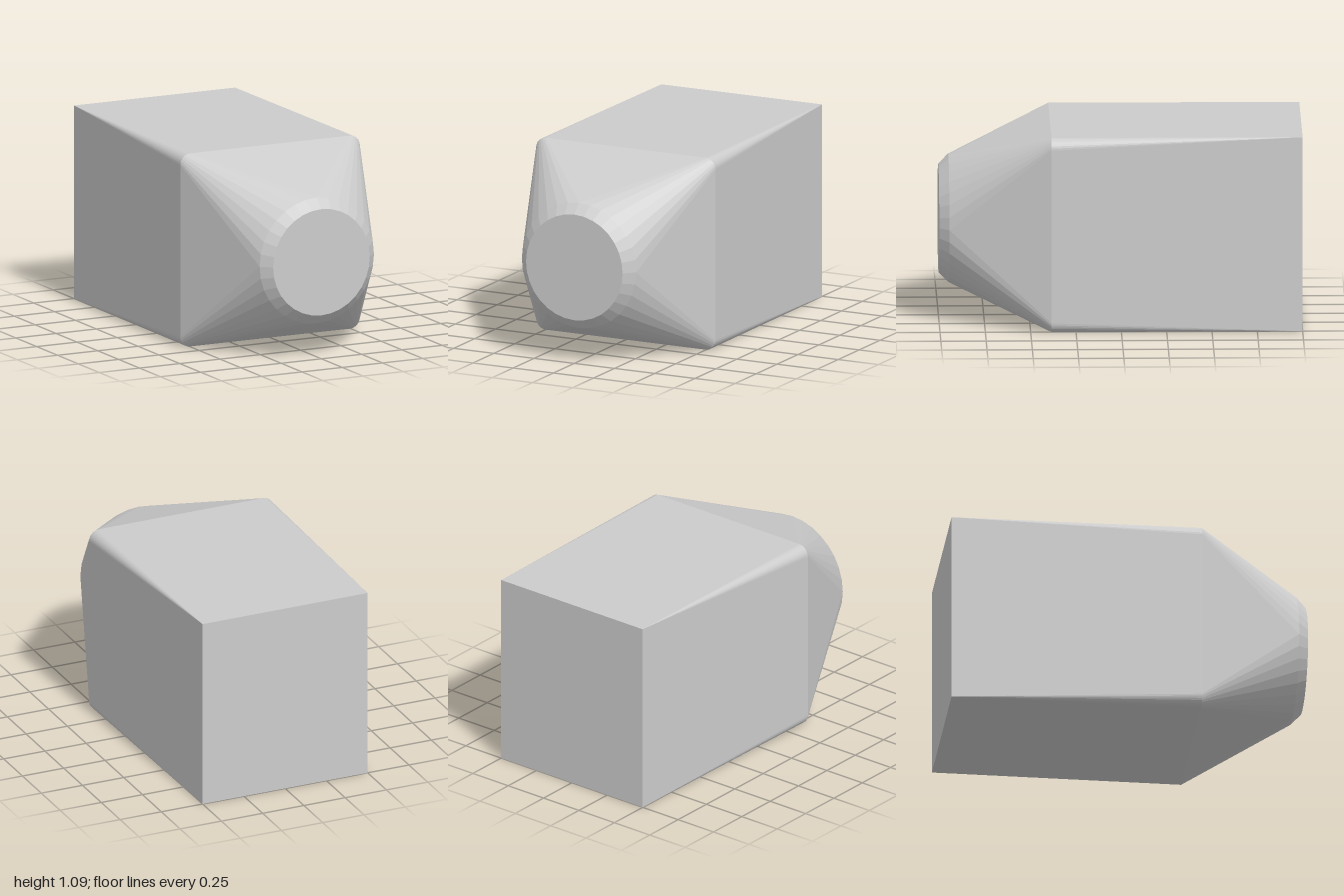
import * as THREE from 'three';

const SEG = 8; // facets per rounded corner
const CY = 0.545; // height of the long axis

// Rounded-rectangle cross-section, counter-clockwise seen from +z
function ring(halfW, halfH, r, z) {
  const pts = [];
  for (let k = 0; k < 4; k++) {
    const sx = k === 0 || k === 3 ? 1 : -1;
    const sy = k < 2 ? 1 : -1;
    for (let j = 0; j <= SEG; j++) {
      const a = (k + j / SEG) * Math.PI / 2;
      pts.push(new THREE.Vector3(
        sx * (halfW - r) + r * Math.cos(a),
        CY + sy * (halfH - r) + r * Math.sin(a), z));
    }
  }
  return pts;
}

// Skin rings from back to front, with optional flat end caps
function loft(rings, capBack, capFront) {
  const pos = [];
  const tri = (a, b, c) => {
    const area = b.clone().sub(a).cross(c.clone().sub(a)).length();
    if (area > 1e-9) for (const p of [a, b, c]) pos.push(p.x, p.y, p.z);
  };
  const n = rings[0].length;
  for (let i = 0; i < rings.length - 1; i++) {
    const a = rings[i], b = rings[i + 1];
    for (let j = 0; j < n; j++) {
      const k = (j + 1) % n;
      tri(a[j], a[k], b[k]);
      tri(a[j], b[k], b[j]);
    }
  }
  const back = rings[0], front = rings[rings.length - 1];
  const backMid = new THREE.Vector3(0, CY, back[0].z);
  const frontMid = new THREE.Vector3(0, CY, front[0].z);
  for (let j = 0; j < n; j++) {
    const k = (j + 1) % n;
    if (capBack) tri(backMid, back[k], back[j]);
    if (capFront) tri(frontMid, front[j], front[k]);
  }
  const geo = new THREE.BufferGeometry();
  geo.setAttribute('position', new THREE.Float32BufferAttribute(pos, 3));
  geo.computeVertexNormals();
  return geo;
}

export function createModel() {
  const group = new THREE.Group();
  group.name = 'taperedBlock';
  const grey = new THREE.MeshStandardMaterial({ color: 0xcccccc });
  grey.name = 'light grey';
  const add = (name, geo) => {
    const mesh = new THREE.Mesh(geo, grey);
    mesh.name = name;
    group.add(mesh);
  };

  const backEdge = ring(0.5, CY, 0, -1);
  const shoulder = ring(0.557, CY, 0.06, 0.385);
  const noseEdge = ring(0.355, 0.355, 0.355, 0.945);
  const noseTip = ring(0.3, 0.3, 0.3, 1);

  // Box with sharp back corners that round off towards the shoulder
  add('body', loft([backEdge, shoulder], true, false));
  // Square-to-round transition
  add('nose', loft([shoulder, noseEdge], false, false));
  // Bevelled round front face
  add('noseCap', loft([noseEdge, noseTip], false, true));

  return group;
}
